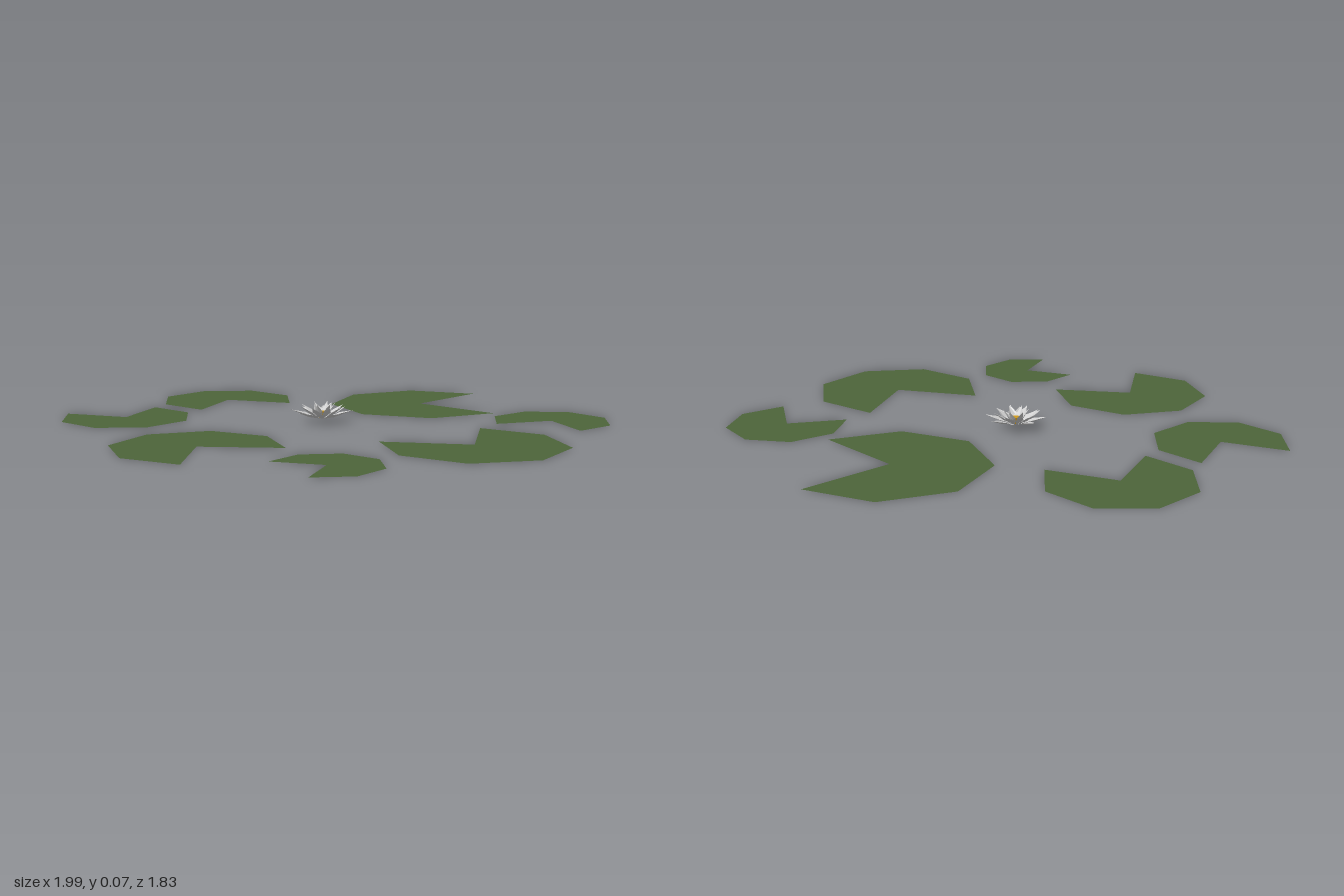
import * as THREE from 'three';

const rad = THREE.MathUtils.degToRad;

// Pads: centre x, centre z, radius, direction of the notch in degrees (from +x towards +z)
const PADS = [
  [0.18, -0.58, 0.362, -25.5],
  [-0.587, -0.363, 0.272, 40.5],
  [0.769, -0.374, 0.225, 94.5],
  [-0.747, 0.176, 0.251, 221],
  [-0.213, 0.603, 0.303, 26.4],
  [0.31, 0.715, 0.194, 128.7],
  [0.641, 0.203, 0.328, 212],
];

// Petal rings: count, tip radius, tip height, half width, first angle in degrees
const RINGS = [
  [8, 0.117, 0.033, 0.02, 25],
  [8, 0.085, 0.05, 0.017, 47],
  [6, 0.05, 0.06, 0.013, 30],
];

// A pointed petal, creased along its middle rib, running out along +x
function petalGeometry(length, height, halfWidth) {
  const geo = new THREE.BufferGeometry();
  const base = [0.008, 0, 0];
  const rib = [length * 0.55, height * 0.38, 0];
  const left = [length * 0.55, height * 0.38 + 0.009, -halfWidth];
  const right = [length * 0.55, height * 0.38 + 0.009, halfWidth];
  const tip = [length, height, 0];
  const faces = [base, rib, left, left, rib, tip, base, right, rib, right, tip, rib];
  geo.setAttribute('position', new THREE.Float32BufferAttribute(faces.flat(), 3));
  geo.computeVertexNormals();
  return geo;
}

export function createModel() {
  const model = new THREE.Group();
  model.name = 'waterLilies';

  const padMat = new THREE.MeshStandardMaterial({ color: 0x4d653a, side: THREE.DoubleSide });
  const petalMat = new THREE.MeshStandardMaterial({ color: 0xcccccc, side: THREE.DoubleSide, flatShading: true });
  const stamenMat = new THREE.MeshStandardMaterial({ color: 0xd09a1c, flatShading: true });

  // Floating pads: octagons with one quarter cut out
  PADS.forEach(([x, z, r, notch], i) => {
    const geo = new THREE.CircleGeometry(r, 6, rad(45 - notch), rad(270));
    geo.rotateX(-Math.PI / 2);
    const pad = new THREE.Mesh(geo, padMat);
    pad.name = `lilyPad${i + 1}`;
    pad.position.set(x, 0, z);
    model.add(pad);
  });

  // Flower
  const flower = new THREE.Group();
  flower.name = 'flower';
  flower.position.set(-0.015, 0.013, -0.016);
  model.add(flower);

  RINGS.forEach(([count, length, height, halfWidth, start], ring) => {
    const geo = petalGeometry(length, height, halfWidth);
    for (let i = 0; i < count; i++) {
      const petal = new THREE.Mesh(geo, petalMat);
      petal.name = `petalRing${ring + 1}`;
      petal.rotation.y = -rad(start + (i * 360) / count);
      flower.add(petal);
    }
  });

  // Yellow heart of the flower
  const heart = new THREE.Mesh(new THREE.CylinderGeometry(0.018, 0.009, 0.026, 6), stamenMat);
  heart.name = 'stamens';
  heart.position.y = 0.015;
  flower.add(heart);

  return model;
}
